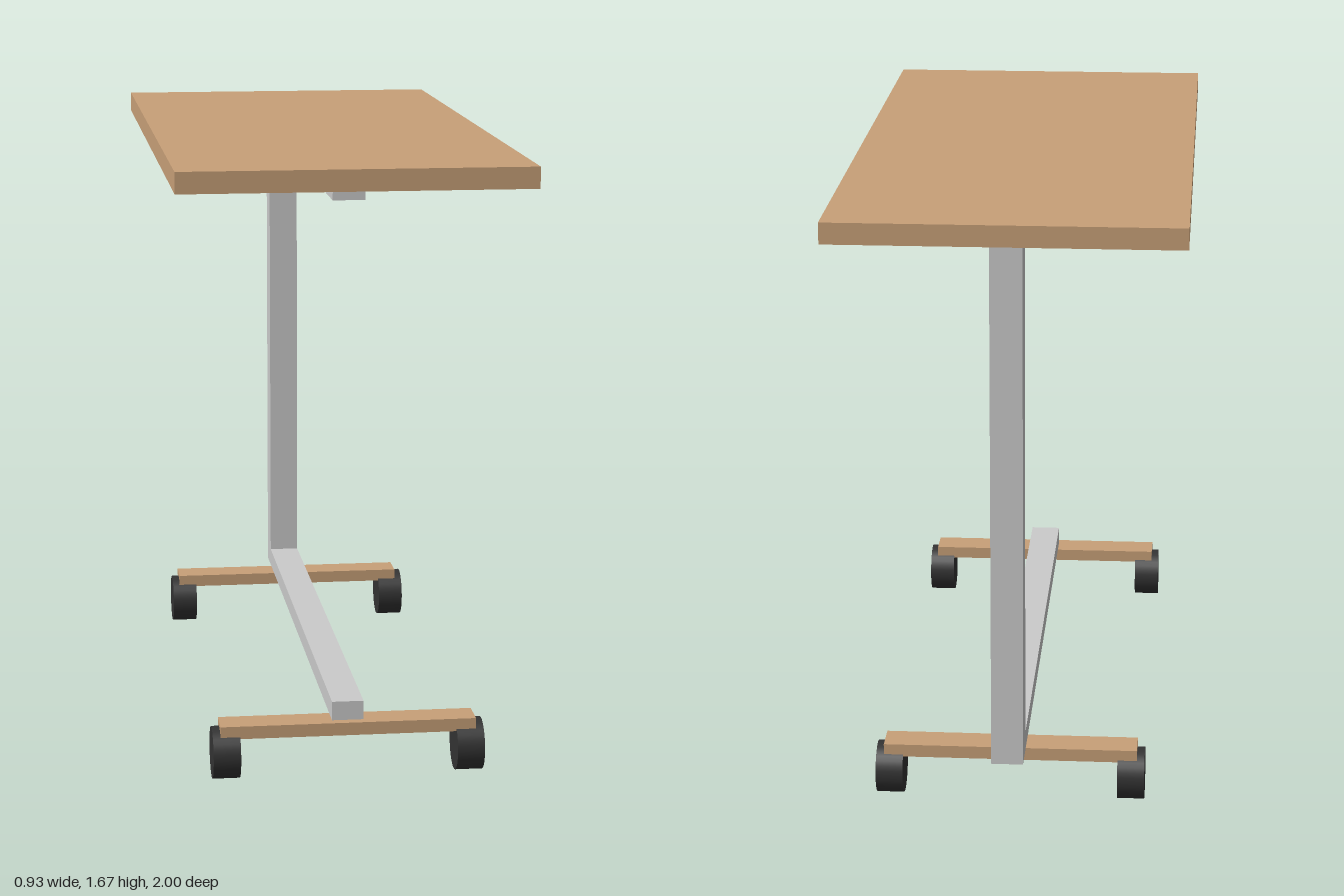
import * as THREE from 'three';

const wood = new THREE.MeshStandardMaterial({ color: 0xc8a078 });
const metal = new THREE.MeshStandardMaterial({ color: 0xcccccc });
const rubber = new THREE.MeshStandardMaterial({ color: 0x333333 });

// Box given by its [min, max] extent along each axis
function box(name, material, [x0, x1], [y0, y1], [z0, z1]) {
  const mesh = new THREE.Mesh(new THREE.BoxGeometry(x1 - x0, y1 - y0, z1 - z0), material);
  mesh.position.set((x0 + x1) / 2, (y0 + y1) / 2, (z0 + z1) / 2);
  mesh.name = name;
  return mesh;
}

export function createModel() {
  const table = new THREE.Group();
  table.name = 'overbedTable';

  // Table top
  table.add(box('tableTop', wood, [-0.467, 0.467], [1.616, 1.673], [-1, 1]));

  // C-shaped frame: two rails joined by a rear post
  const frame = new THREE.Group();
  frame.name = 'frame';
  const width = [-0.043, 0.043];
  frame.add(
    box('topRail', metal, width, [1.568, 1.616], [-0.909, 0.807]),
    box('post', metal, width, [0.207, 1.568], [-0.909, -0.817]),
    box('baseRail', metal, width, [0.155, 0.207], [-0.909, 0.807])
  );
  table.add(frame);

  // Front and rear feet, each a crossbar with a wheel at either end
  const wheelGeometry = new THREE.CylinderGeometry(0.071, 0.071, 0.074, 32).rotateZ(Math.PI / 2);
  for (const [end, z] of [['front', 0.788], ['rear', -0.757]]) {
    const foot = new THREE.Group();
    foot.name = end + 'Foot';
    foot.add(box(end + 'Crossbar', wood, [-0.347, 0.347], [0.12, 0.155], [z - 0.045, z + 0.045]));
    for (const [side, sign] of [['Left', 1], ['Right', -1]]) {
      const wheel = new THREE.Mesh(wheelGeometry, rubber);
      wheel.name = end + side + 'Wheel';
      wheel.position.set(sign * 0.331, 0.071, z);
      foot.add(wheel);
    }
    table.add(foot);
  }

  return table;
}
